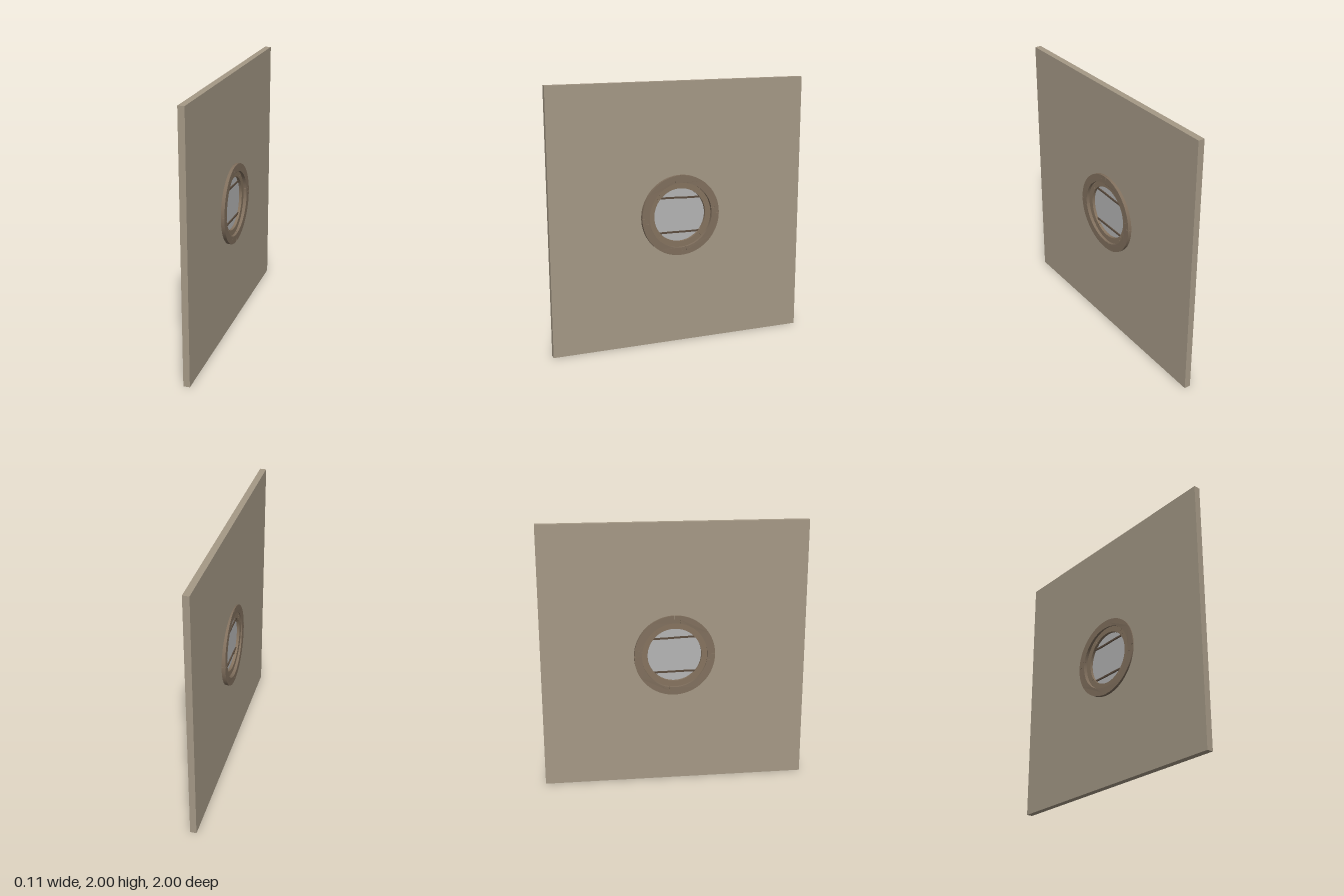
import * as THREE from 'three';

const CENTRE_Y = 1;
const mat = (name, color) => new THREE.MeshStandardMaterial({ name, color });

// Shapes are drawn in a plane and turned so that their depth runs along x.
function panel(name, shape, x0, x1, material, segments = 24) {
  const geo = new THREE.ExtrudeGeometry(shape, { depth: x1 - x0, bevelEnabled: false, curveSegments: segments });
  geo.translate(0, 0, x0);
  const mesh = new THREE.Mesh(geo, material);
  mesh.name = name;
  mesh.rotation.y = Math.PI / 2;
  mesh.position.y = CENTRE_Y;
  return mesh;
}

// Quarter of a ring whose two ends are stepped to lock into its neighbours.
function ringQuarter(inner, outer, start, step) {
  const end = start + Math.PI / 2;
  const mid = (inner + outer) / 2;
  const gap = 0.004;
  const s = new THREE.Shape();
  s.absarc(0, 0, outer, start + gap, end - gap, false);
  s.lineTo(mid * Math.cos(end - gap), mid * Math.sin(end - gap));
  s.lineTo(mid * Math.cos(end + step - gap), mid * Math.sin(end + step - gap));
  s.absarc(0, 0, inner, end + step - gap, start + step + gap, true);
  s.lineTo(mid * Math.cos(start + step + gap), mid * Math.sin(start + step + gap));
  s.lineTo(mid * Math.cos(start + gap), mid * Math.sin(start + gap));
  s.closePath();
  return s;
}

// Uneven hand-carved thickness around the ring.
function carve(mesh) {
  const p = mesh.geometry.attributes.position;
  for (let i = 0; i < p.count; i++) {
    const a = Math.atan2(p.getY(i), p.getX(i));
    const x = p.getZ(i) < 0 ? -0.043 - 0.012 * Math.cos(a + 0.54) : 0.048 + 0.003 * Math.cos(2 * a);
    p.setZ(i, x);
  }
  mesh.geometry.computeVertexNormals();
}

export function createModel() {
  const model = new THREE.Group();
  model.name = 'roundWindowWall';
  const plaster = mat('plaster', 0xa59986);
  const wood = mat('wood', 0x806f5d);
  const innerWood = mat('innerWood', 0x85735f);
  const darkBar = mat('darkBar', 0x5c4d3f);
  const glass = mat('glass', 0xb5b5b5);

  // Wall with a round opening
  const wallShape = new THREE.Shape();
  wallShape.moveTo(-1, -1).lineTo(1, -1).lineTo(1, 1).lineTo(-1, 1).closePath();
  const hole = new THREE.Path();
  hole.absarc(0, 0, 0.275, 0, Math.PI * 2, true);
  wallShape.holes.push(hole);
  model.add(panel('wall', wallShape, -0.025, 0.023, plaster, 64));

  // Outer and inner frames, four interlocking quarters each
  const outerFrame = new THREE.Group();
  outerFrame.name = 'outerFrame';
  const innerFrame = new THREE.Group();
  innerFrame.name = 'innerFrame';
  for (let i = 0; i < 4; i++) {
    const a = i * Math.PI / 2;
    const outer = panel('outerFrameQuarter', ringQuarter(0.248, 0.307, a, 0.16), -0.045, 0.048, wood);
    carve(outer);
    outerFrame.add(outer);
    innerFrame.add(panel('innerFrameQuarter', ringQuarter(0.204, 0.25, a + Math.PI / 4, 0.14), -0.025, 0.025, innerWood));
  }
  model.add(outerFrame, innerFrame);

  // Glass pane
  const disc = new THREE.Shape();
  disc.absarc(0, 0, 0.21, 0, Math.PI * 2, false);
  model.add(panel('glassPane', disc, -0.004, 0.004, glass, 48));

  // Slightly bowed horizontal glazing bars
  for (const [y, tilt] of [[0.13, -0.004], [-0.135, -0.002]]) {
    const bar = new THREE.Mesh(new THREE.BoxGeometry(0.026, 0.013, 0.35, 1, 1, 12), darkBar);
    const p = bar.geometry.attributes.position;
    for (let i = 0; i < p.count; i++) {
      const t = -p.getZ(i) / 0.175;
      p.setY(i, p.getY(i) + tilt * Math.sin(t * 2.2));
    }
    bar.geometry.computeVertexNormals();
    bar.name = 'glazingBar';
    bar.position.y = CENTRE_Y + y;
    model.add(bar);
  }
  return model;
}
